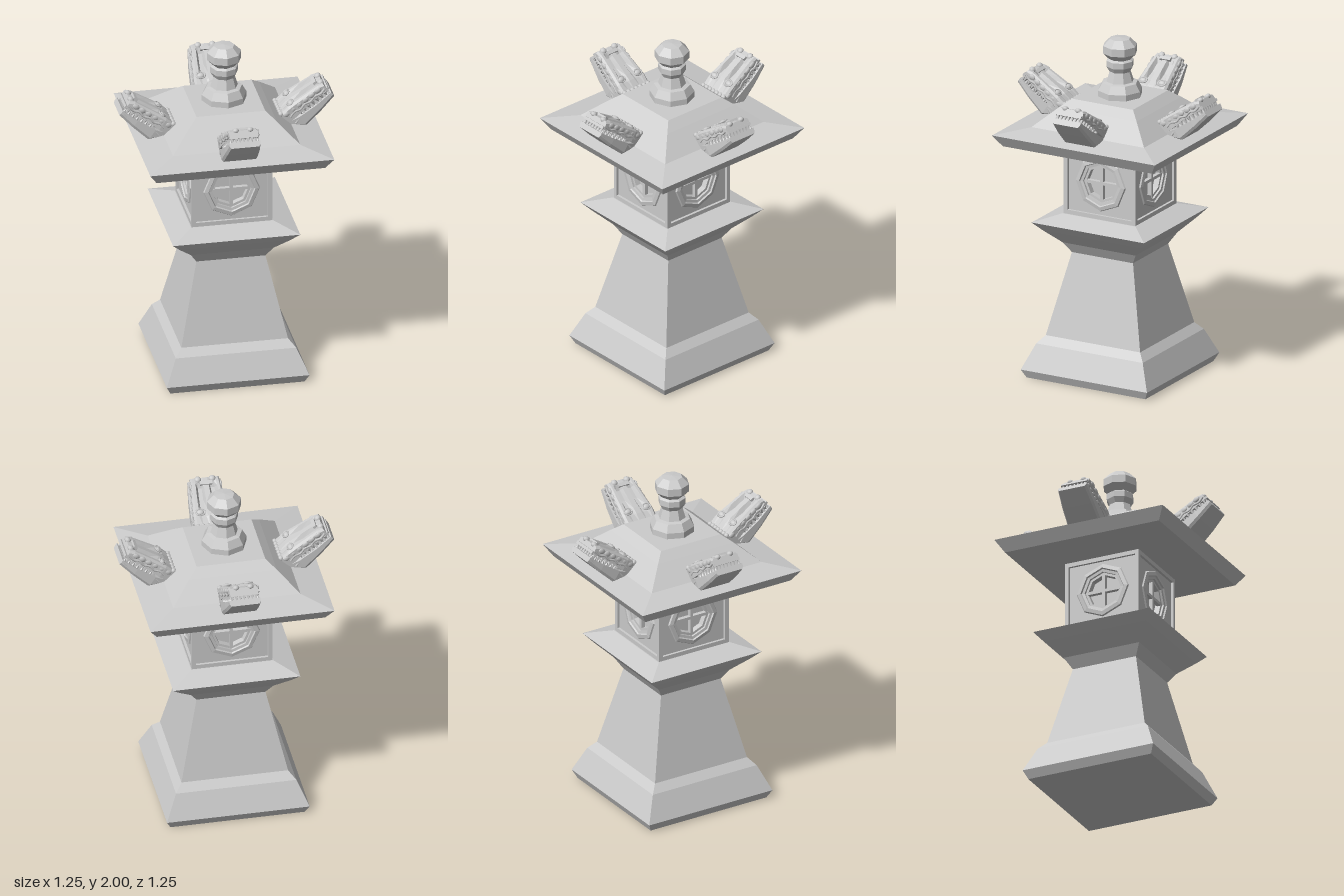
import * as THREE from 'three';

const flat = new THREE.MeshStandardMaterial({ color: 0xcccccc, flatShading: true });
const smooth = new THREE.MeshStandardMaterial({ color: 0xcccccc });

function add(parent, name, geometry, x = 0, y = 0, z = 0, material = flat) {
  const mesh = new THREE.Mesh(geometry, material);
  mesh.name = name;
  mesh.position.set(x, y, z);
  parent.add(mesh);
  return mesh;
}

const points = list => list.map(([x, y]) => new THREE.Vector2(x, y));
const box = (w, h, d) => new THREE.BoxGeometry(w, h, d);

// Square tier stack: profile of [half width, height]
function squareLathe(profile) {
  return new THREE.LatheGeometry(points(profile.map(([w, y]) => [w * Math.SQRT2, y])), 4, Math.PI / 4);
}

// Rectangular plate with a hole, extruded along +z
function plate(w, h, hole, depth) {
  const shape = new THREE.Shape(points([[-w, -h], [w, -h], [w, h], [-w, h]]));
  shape.holes.push(new THREE.Path(points(hole)));
  return new THREE.ExtrudeGeometry(shape, { depth, bevelEnabled: false });
}

// Joins equal-sized cross-sections { z, ring } (counter-clockwise) and caps the ends
function loft(sections) {
  const n = sections[0].ring.length, pos = [], index = [];
  for (const { z, ring } of sections) for (const [x, y] of ring) pos.push(x, y, z);
  for (let i = 0; i < sections.length - 1; i++) {
    for (let j = 0; j < n; j++) {
      const a = i * n + j, b = i * n + (j + 1) % n;
      index.push(a, b, a + n, b, b + n, a + n);
    }
  }
  for (const i of [0, sections.length - 1]) {
    const { z, ring } = sections[i], c = pos.length / 3;
    pos.push(0, (ring[0][1] + ring[2][1]) / 2, z);
    for (let j = 0; j < n; j++) {
      const a = i * n + j, b = i * n + (j + 1) % n;
      index.push(...(i ? [c, a, b] : [c, b, a]));
    }
  }
  const geometry = new THREE.BufferGeometry();
  geometry.setAttribute('position', new THREE.Float32BufferAttribute(pos, 3));
  geometry.setIndex(index);
  geometry.computeVertexNormals();
  return geometry;
}

// Snout section: two hollows of depth d beside a centre ridge
function snoutRing(w, top, bottom, d) {
  const right = [[w, top - 0.012], [w * 0.88, top], [w * 0.7, top], [w * 0.55, top - d],
    [w * 0.3, top - d], [w * 0.17, top]];
  const left = right.map(([x, y]) => [-x, y]).reverse();
  return [[-w, bottom], [w, bottom], ...right, ...left];
}

const jawRing = (w, top, bottom) => [[-w * 0.9, bottom], [w * 0.9, bottom], [w, bottom + 0.015],
  [w, top], [-w, top], [-w, bottom + 0.015]];

// Carved beast head: +z runs along the snout, y = 0 is the top of the forehead
function beastHead() {
  const head = new THREE.Group();
  head.name = 'beastHead';

  add(head, 'upperJaw', loft([
    [0, 0.1, -0.004, -0.075, 0], [0.06, 0.103, 0.004, -0.075, 0.004], [0.1, 0.1, 0.004, -0.07, 0.016],
    [0.17, 0.094, 0, -0.062, 0.026], [0.24, 0.088, -0.004, -0.06, 0.022], [0.27, 0.086, -0.006, -0.06, 0.004],
    [0.3, 0.084, -0.016, -0.06, 0.002],
  ].map(([z, w, t, b, d]) => ({ z, ring: snoutRing(w, t, b, d) }))));
  add(head, 'lowerJaw', loft([
    [0, 0.098, -0.07, -0.1], [0.078, 0.105, -0.085, -0.158], [0.2, 0.1, -0.09, -0.14], [0.308, 0.09, -0.085, -0.118],
  ].map(([z, w, t, b]) => ({ z, ring: jawRing(w, t, b) }))));
  add(head, 'mouthInterior', box(0.15, 0.06, 0.27), 0, -0.075, 0.145);

  // Front lip, teeth and nose
  add(head, 'upperLip', box(0.165, 0.016, 0.02), 0, -0.055, 0.3);
  const tooth = new THREE.ConeGeometry(0.012, 0.034, 5);
  for (let i = -3; i <= 3; i++) {
    add(head, 'frontTooth', tooth, i * 0.023, -0.074, 0.295).rotation.x = Math.PI;
  }
  add(head, 'noseBridge', box(0.07, 0.016, 0.022), 0, -0.004, 0.262);

  for (const s of [-1, 1]) {
    // Eyes under heavy lids
    const eye = add(head, 'eye', new THREE.SphereGeometry(0.02, 12, 8), s * 0.062, 0.004, 0.085, smooth);
    eye.scale.set(1.1, 0.6, 0.85);
    const lid = add(head, 'eyelid', new THREE.TorusGeometry(0.023, 0.005, 6, 14), s * 0.062, 0.006, 0.085, smooth);
    lid.rotation.x = Math.PI / 2;
    lid.scale.set(1.1, 0.85, 1);
    // Nostrils
    add(head, 'nostril', new THREE.SphereGeometry(0.02, 10, 6), s * 0.042, -0.015, 0.29, smooth).scale.y = 0.8;
    // Side teeth
    for (let i = 0; i < 7; i++) {
      const z = 0.1 + i * 0.03, x = s * (0.098 - i * 0.002);
      add(head, 'upperTooth', tooth, x - s * 0.008, -0.078, z).rotation.x = Math.PI;
      add(head, 'lowerTooth', tooth, x - s * 0.008, -0.08, z + 0.015);
    }
    // Curled lips and cheek scales along the side
    const lip = y => new THREE.TubeGeometry(new THREE.CatmullRomCurve3(Array.from({ length: 8 }, (_, i) =>
      new THREE.Vector3(s * (0.1 - i * 0.002), y + (i % 2) * 0.01, 0.04 + i * 0.036))), 24, 0.007, 6);
    add(head, 'upperLipCurl', lip(-0.052), 0, 0, 0, smooth);
    add(head, 'lowerLipCurl', lip(-0.105), 0, 0, 0, smooth);
    for (let i = 0; i < 6; i++) {
      const scale = add(head, 'cheekScale', new THREE.SphereGeometry(0.02, 8, 6),
        s * (0.098 - i * 0.002), -0.025, 0.03 + i * 0.045, smooth);
      scale.scale.set(0.4, 0.8, 1.1);
    }
  }

  // Scalloped mane along the back edge
  for (let i = 0; i < 7; i++) {
    add(head, 'maneCurl', new THREE.SphereGeometry(0.016, 8, 6), (i - 3) * 0.029, -0.008, 0.004, smooth);
  }
  return head;
}

// Octagonal window with a cross, in a framed wall panel facing +z
function lampWall() {
  const wall = new THREE.Group();
  wall.name = 'lampWall';
  const y = 1.18, r = 0.115;
  const octagon = Array.from({ length: 8 }, (_, i) =>
    [r * Math.cos(i * Math.PI / 4), r * Math.sin(i * Math.PI / 4)]);
  add(wall, 'wallFrame', plate(0.235, 0.215, [[-0.21, -0.185], [-0.21, 0.18], [0.21, 0.18], [0.21, -0.185]], 0.015), 0, y, 0.22);
  add(wall, 'wallPanel', plate(0.22, 0.21, octagon, 0.05), 0, y, 0.17);
  const ring = new THREE.LatheGeometry(points([[0.165, 0], [0.16, 0.008], [0.137, 0.012], [0.132, 0.004], [r, 0.002], [r, -0.015]]), 8);
  add(wall, 'windowRing', ring.rotateX(Math.PI / 2), 0, y, 0.22);
  const inner = new THREE.LatheGeometry(points([[r, 0], [r, 0.01], [0.1, 0.01], [0.1, -0.03]]), 8);
  add(wall, 'windowRim', inner.rotateX(Math.PI / 2), 0, y, 0.2);
  add(wall, 'windowBar', box(0.018, 0.22, 0.025), 0, y, 0.2);
  add(wall, 'windowBar', box(0.22, 0.018, 0.025), 0, y, 0.2);
  return wall;
}

export function createModel() {
  const lantern = new THREE.Group();
  lantern.name = 'stoneLantern';

  // Pedestal and the platform under the lamp
  add(lantern, 'pedestal', squareLathe([[0, 0], [0.39, 0], [0.415, 0.05], [0.35, 0.2], [0.31, 0.245], [0.2, 0.735], [0, 0.735]]));
  add(lantern, 'platform', squareLathe([[0, 0.73], [0.2, 0.73], [0.24, 0.795], [0.325, 0.88], [0.37, 0.93], [0.24, 0.97], [0, 0.97]]));

  // Lamp house
  add(lantern, 'lampCore', box(0.35, 0.43, 0.35), 0, 1.18, 0);

  // Roof
  add(lantern, 'roof', squareLathe([[0, 1.385], [0.235, 1.385], [0.49, 1.405], [0.535, 1.475],
    [0.37, 1.505], [0.255, 1.61], [0.2, 1.655], [0, 1.655]]));

  // Octagonal finial
  add(lantern, 'finial', new THREE.LatheGeometry(points([[0.13, 1.65], [0.13, 1.69], [0.105, 1.735], [0.08, 1.74],
    [0.062, 1.8], [0.08, 1.83], [0.08, 1.865], [0.065, 1.875], [0.075, 1.885], [0.1, 1.91], [0.1, 1.955],
    [0.06, 1.995], [0, 2]]), 8));

  // Four identical sides
  for (let i = 0; i < 4; i++) {
    const side = new THREE.Group();
    side.name = 'side';
    side.rotation.y = i * Math.PI / 2;
    const head = beastHead();
    head.position.set(0, 1.57, 0.305);
    head.rotation.x = -35 * Math.PI / 180;
    side.add(head, lampWall());
    lantern.add(side);
  }
  return lantern;
}
